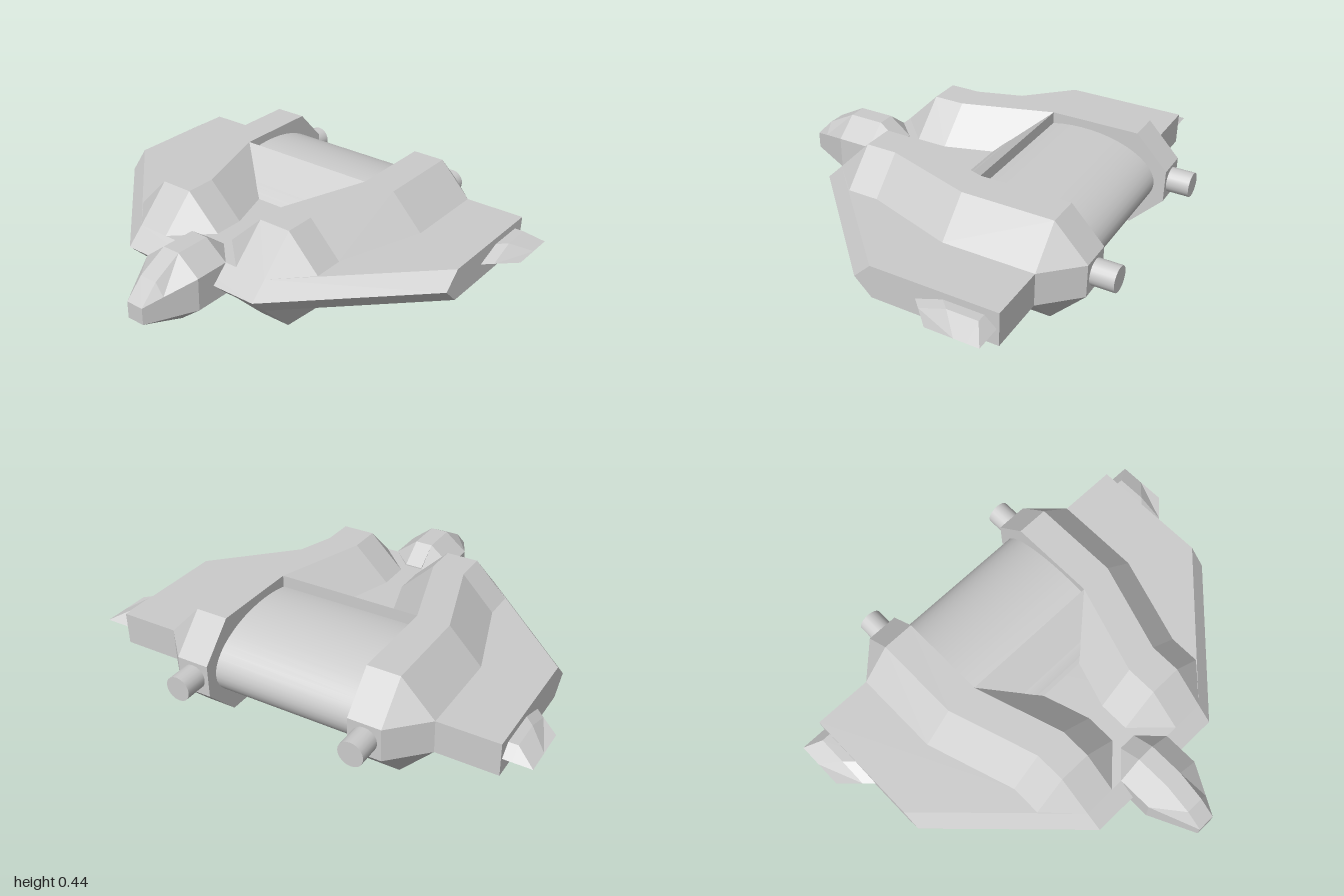
import * as THREE from 'three';

const MID = 0.222, HI = 0.295, LO = 0.15, TOP = 0.445;
const flat = new THREE.MeshStandardMaterial({ color: 0xcccccc, flatShading: true });
const smooth = new THREE.MeshStandardMaterial({ color: 0xcccccc });

// Closed solid skinned through equal-length rings of [x, y, z], always facing outward
function loft(name, rings) {
  const tris = [], n = rings[0].length;
  for (let r = 0; r < rings.length - 1; r++) {
    for (let i = 0; i < n; i++) {
      const j = (i + 1) % n;
      const [a, b, c, d] = [rings[r][i], rings[r][j], rings[r + 1][j], rings[r + 1][i]];
      tris.push([a, b, c], [a, c, d]);
    }
  }
  const first = rings[0], last = rings[rings.length - 1];
  for (let i = 1; i < n - 1; i++) {
    tris.push([first[0], first[i + 1], first[i]], [last[0], last[i], last[i + 1]]);
  }
  const V = p => new THREE.Vector3(...p);
  let volume = 0;
  const kept = tris.filter(([a, b, c]) => {
    volume += V(a).dot(V(b).cross(V(c)));
    return V(b).sub(V(a)).cross(V(c).sub(V(a))).length() > 1e-8;
  });
  if (volume < 0) kept.forEach(t => t.reverse());
  const geo = new THREE.BufferGeometry();
  geo.setAttribute('position', new THREE.Float32BufferAttribute(kept.flat(2), 3));
  geo.computeVertexNormals();
  const mesh = new THREE.Mesh(geo, flat);
  mesh.name = name;
  return mesh;
}

// Wing plate: one chord section swept across the span, with a sharp leading edge
function wing() {
  const stations = [[-0.88, 0.015], [-0.34, 0.555], [0.34, 0.555], [0.88, 0.015]];
  return loft('wing', stations.map(([x, f]) => [
    [x, LO, -0.61], [x, HI, -0.61], [x, HI, f - 0.075], [x, MID, f], [x, LO, f - 0.075],
  ]));
}

// Side hull: z, inner low x, inner top x, crest x, outer x, top y
function sideHull(s) {
  const stations = [
    [-0.755, 0.325, 0.325, 0.47, 0.47, HI],
    [-0.61, 0.325, 0.325, 0.47, 0.615, TOP],
    [-0.21, 0.325, 0.325, 0.47, 0.615, TOP],
    [-0.21, 0.17, 0.325, 0.47, 0.615, TOP],
    [0.19, 0.04, 0.195, 0.34, 0.485, TOP],
    [0.33, 0.04, 0.195, 0.34, 0.485, TOP],
    [0.48, 0.195, 0.195, 0.34, 0.34, HI],
  ];
  return loft(s > 0 ? 'leftHull' : 'rightHull', stations.map(([z, low, inner, crest, outer, top]) => {
    const bottom = HI + LO - top;
    return [
      [s * inner, top, z], [s * crest, top, z], [s * outer, HI, z], [s * outer, LO, z],
      [s * crest, bottom, z], [s * inner, bottom, z], [s * low, LO, z], [s * low, HI, z],
    ];
  }));
}

// Winglet: six-sided section shrinking to a sharp outer edge
function winglet(s) {
  const stations = [[0.8, -0.18, 0.043], [0.92, -0.298, 0.043], [1, -0.375, 0]];
  return loft(s > 0 ? 'leftWinglet' : 'rightWinglet', stations.map(([x, f, h]) => [
    [s * x, MID, f], [s * x, MID + h, f - 0.12], [s * x, MID + h, -0.55],
    [s * x, MID, -0.6], [s * x, MID - h, -0.55], [s * x, MID - h, f - 0.12],
  ]));
}

// Nose pod: z, half width, top, upper shoulder, lower shoulder, bottom
function nosePod() {
  const a = 0.04;
  const stations = [
    [0.38, 0.04, 0.3, HI, LO, 0.145],
    [0.48, 0.14, 0.375, HI, LO, 0.07],
    [0.64, 0.14, 0.375, HI, LO, 0.07],
    [0.77, 0.078, 0.305, 0.252, LO, 0.12],
    [0.85, 0.04, 0.225, 0.225, LO, LO],
  ];
  return loft('nosePod', stations.map(([z, w, t, hi, lo, b]) => [
    [-a, t, z], [a, t, z], [w, hi, z], [w, lo, z],
    [a, b, z], [-a, b, z], [-w, lo, z], [-w, hi, z],
  ]));
}

// Ramp bridging the side hulls in front of the drum
function ramp() {
  return loft('centreRamp', [[-0.21, 0.325, TOP], [-0.02, 0.11, HI]].map(([z, w, top]) => [
    [-w, top, z], [w, top, z], [w, HI + LO - top, z], [-w, HI + LO - top, z],
  ]));
}

export function createModel() {
  const model = new THREE.Group();
  model.name = 'spacecraft';
  model.add(wing(), nosePod(), ramp());

  // Smooth oval drum between the side hulls
  const drum = new THREE.Mesh(new THREE.CylinderGeometry(1, 1, 0.66, 48).rotateZ(Math.PI / 2), smooth);
  drum.name = 'drum';
  drum.scale.set(1, 0.185, 0.355);
  drum.position.set(0, MID, -0.35);
  model.add(drum);

  for (const s of [1, -1]) {
    const nozzle = new THREE.Mesh(new THREE.CylinderGeometry(0.055, 0.055, 0.2, 20).rotateX(Math.PI / 2), smooth);
    nozzle.name = s > 0 ? 'leftNozzle' : 'rightNozzle';
    nozzle.position.set(s * 0.398, 0.225, -0.755);
    model.add(sideHull(s), winglet(s), nozzle);
  }
  return model;
}
